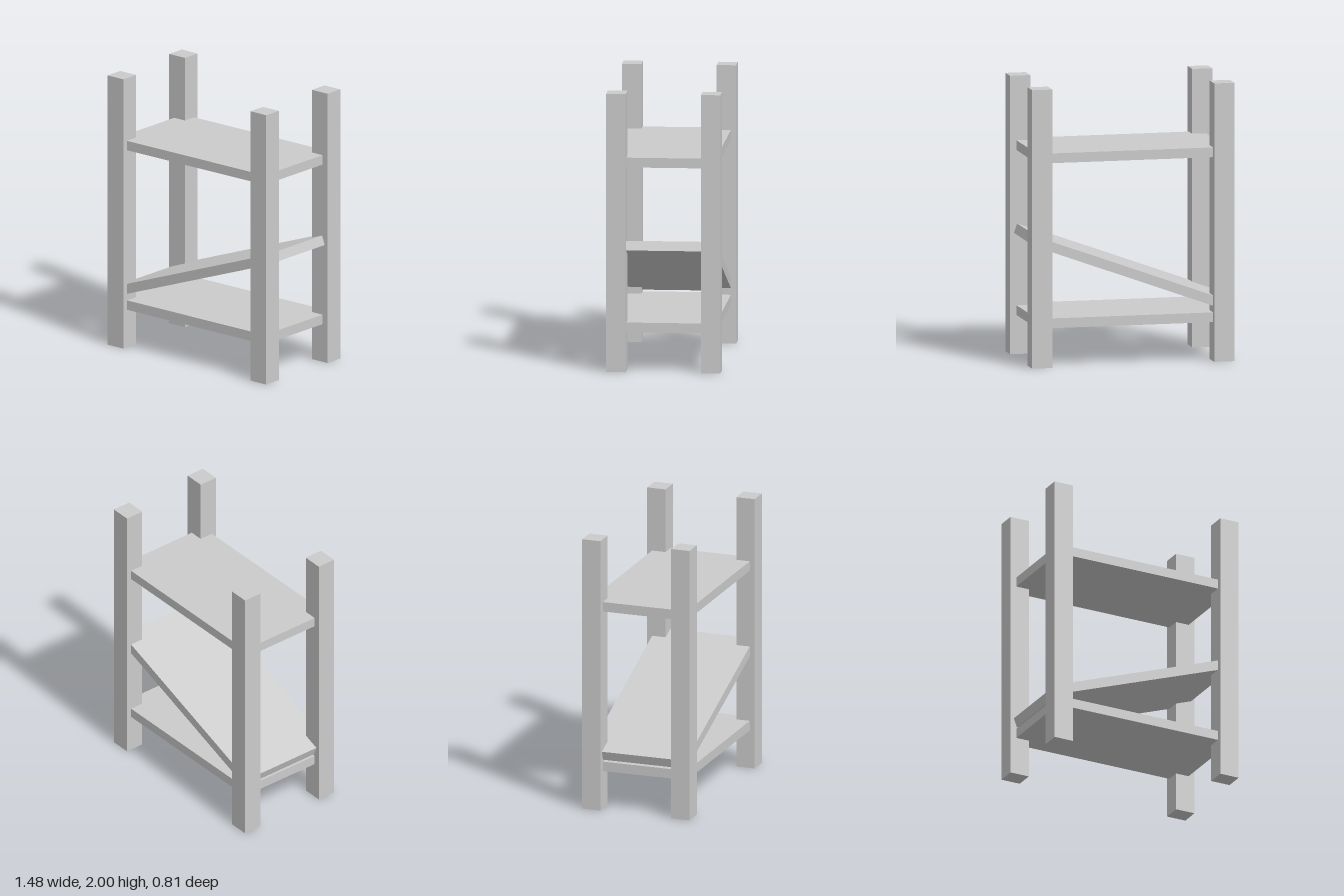
import * as THREE from 'three';

export function createModel() {
  const group = new THREE.Group();
  const material = new THREE.MeshStandardMaterial({ color: 0xcccccc, flatShading: true });

  const addBox = (name, size, position, tilt = 0) => {
    const mesh = new THREE.Mesh(new THREE.BoxGeometry(...size), material);
    mesh.name = name;
    mesh.position.set(...position);
    mesh.rotation.z = tilt;
    group.add(mesh);
  };

  // four square corner posts
  for (const x of [-1, 1]) {
    for (const z of [-1, 1]) {
      const name = (z > 0 ? 'front' : 'back') + (x > 0 ? 'Left' : 'Right') + 'Post';
      addBox(name, [0.147, 2, 0.139], [x * 0.664, 1, z * 0.337]);
    }
  }

  // level shelves, let into the posts
  const depth = 0.739, thickness = 0.07;
  addBox('bottomShelf', [1.382, thickness, depth], [0, 0.315, 0]);
  addBox('topShelf', [1.382, thickness, depth], [0, 1.5, 0]);

  // middle shelf, rising toward the model's left
  addBox('slopedShelf', [1.486, thickness, depth], [0, 0.65, 0], THREE.MathUtils.degToRad(20));

  return group;
}
